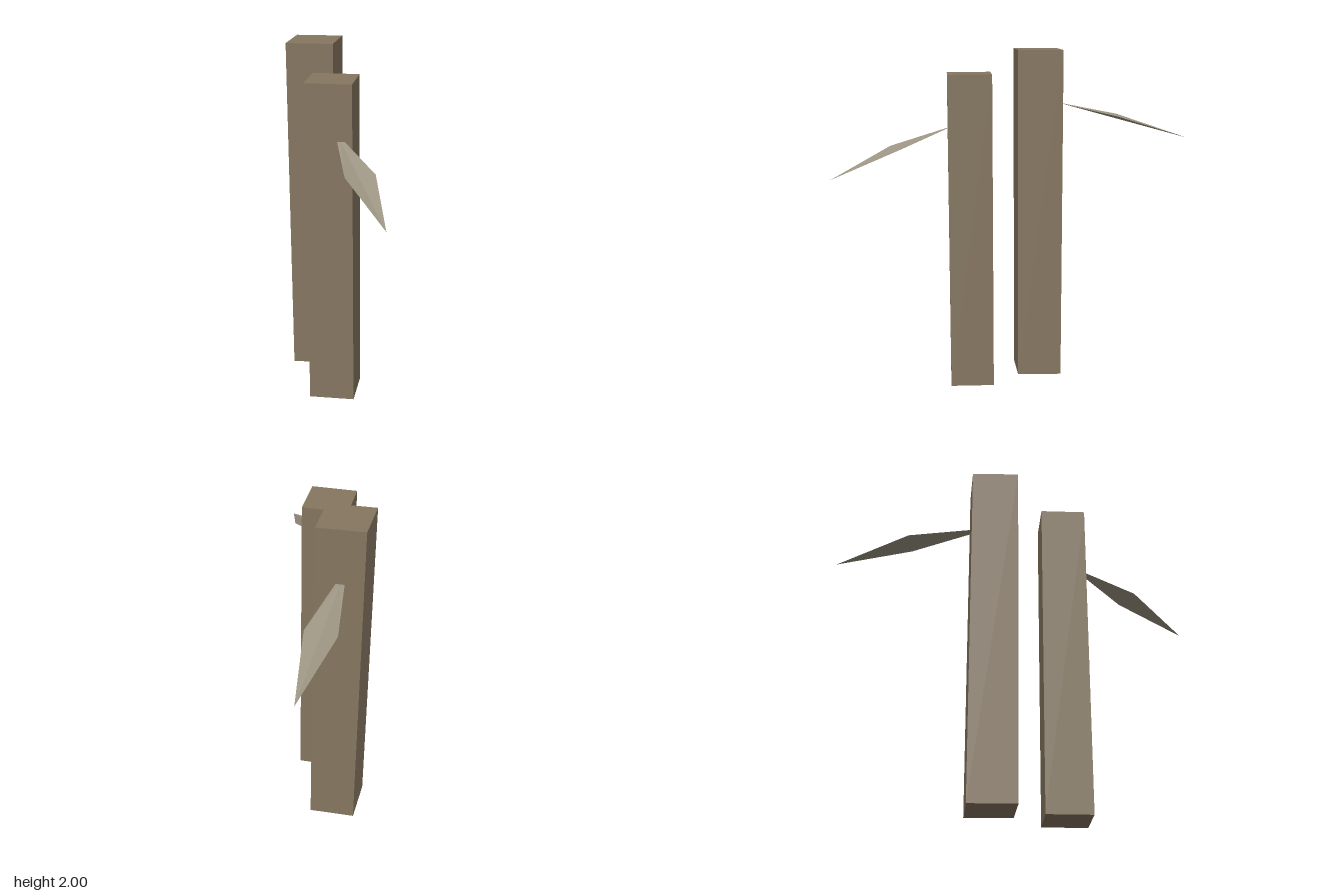
import * as THREE from 'three';

const wood = new THREE.MeshStandardMaterial({ color: 0x857660, flatShading: true });
const leafMat = new THREE.MeshStandardMaterial({ color: 0x9c9482, flatShading: true, side: THREE.DoubleSide });

// Square post standing on its base, turned with a corner to the front
function makePost(name, x, z, rx, rz, height) {
  const geo = new THREE.CylinderGeometry(1, 1, height, 4);
  geo.scale(rx, 1, rz);
  const post = new THREE.Mesh(geo, wood);
  post.position.set(x, height / 2, z);
  post.name = name;
  return post;
}

// Thin leaf folded along its midrib: narrow base edge, two wide corners, one tip
function makeLeaf(name, baseA, baseB, sideA, sideB, tip) {
  const mid = baseA.map((v, i) => (v + baseB[i]) / 2);
  const geo = new THREE.BufferGeometry();
  const points = [mid, baseA, sideA, tip, sideB, baseB];
  geo.setAttribute('position', new THREE.Float32BufferAttribute(points.flat(), 3));
  geo.setIndex([0, 2, 1, 0, 3, 2, 0, 4, 3, 0, 5, 4]);
  geo.computeVertexNormals();
  const leaf = new THREE.Mesh(geo, leafMat);
  leaf.name = name;
  return leaf;
}

export function createModel() {
  const model = new THREE.Group();
  model.name = 'leafyPosts';
  model.add(
    makePost('tallPost', -0.325, 0.117, 0.18, 0.195, 2),
    makePost('shortPost', 0.09, 0.29, 0.18, 0.183, 1.87),
    makeLeaf('tallPostLeaf',
      [-0.43, 0.045], [-0.4, 0.01], [-0.715, -0.185], [-0.58, -0.3], [-0.92, -0.565]),
  );
  model.remove(model.children[2]);
  // Leaves growing outward and drooping from each post
  model.add(
    makeLeaf('tallPostLeaf',
      [-0.43, 1.68, 0.045], [-0.4, 1.68, 0.01],
      [-0.715, 1.605, -0.185], [-0.58, 1.605, -0.3], [-0.92, 1.47, -0.565]),
    makeLeaf('shortPostLeaf',
      [0.245, 1.56, 0.32], [0.215, 1.56, 0.35],
      [0.565, 1.47, 0.36], [0.51, 1.47, 0.515], [0.915, 1.315, 0.565]),
  );
  return model;
}
